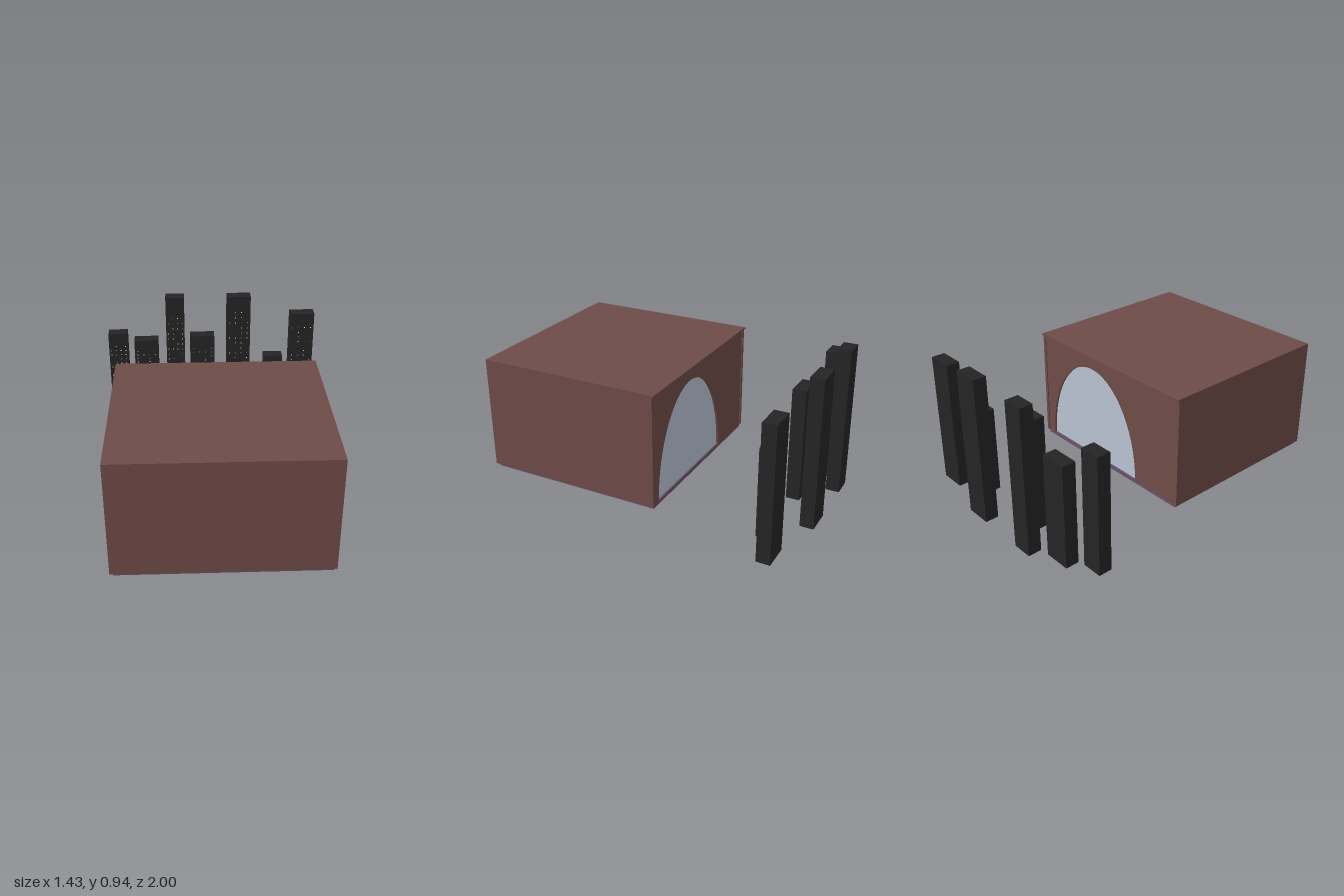
import * as THREE from 'three';

const mat = (name, color) => {
  const m = new THREE.MeshStandardMaterial({ color });
  m.name = name;
  return m;
};

export function createModel() {
  const wallMat = mat('brown wall', 0x6e4b48);
  const floorMat = mat('purple floor', 0x685268);
  const glassMat = mat('pale window', 0xb8c2d1);
  const towerMat = mat('dark tower', 0x242424);
  const lightMat = mat('lit window', 0xe4e4dc);

  const model = new THREE.Group();
  model.name = 'roomWithSkyline';

  // Box given by its minimum and maximum corners
  const box = (name, material, [x0, y0, z0], [x1, y1, z1], parent) => {
    const mesh = new THREE.Mesh(new THREE.BoxGeometry(x1 - x0, y1 - y0, z1 - z0), material);
    mesh.position.set((x0 + x1) / 2, (y0 + y1) / 2, (z0 + z1) / 2);
    mesh.name = name;
    parent.add(mesh);
  };

  // Hollow room: slab, three plain walls and a roof with a small rear lip
  const room = new THREE.Group();
  room.name = 'room';
  model.add(room);
  const L = -0.622, R = 0.626, base = 0.095, top = 0.795, t = 0.02;
  box('floor', floorMat, [-0.605, 0.075, -0.137], [0.609, 0.1, 0.984], room);
  box('roof', wallMat, [L, top, -0.154], [R, 0.805, 1], room);
  box('frontWall', wallMat, [L, base, 1 - t], [R, top, 1], room);
  box('rightWall', wallMat, [L, base, -0.145], [L + t, top, 1 - t], room);
  box('leftWall', wallMat, [R - t, base, -0.145], [R, top, 1 - t], room);

  // Back wall with an off-centre elliptical arch cut from its lower edge
  const cx = 0.146, rx = 0.403, ry = 0.62;
  const wall = new THREE.Shape();
  wall.moveTo(L + t, base);
  wall.lineTo(cx - rx, base);
  wall.absellipse(cx, base, rx, ry, Math.PI, 0, true);
  wall.lineTo(R - t, base);
  wall.lineTo(R - t, top);
  wall.lineTo(L + t, top);
  const extrude = (name, shape, depth, z, material) => {
    const geo = new THREE.ExtrudeGeometry(shape, { depth, bevelEnabled: false, curveSegments: 40 });
    const mesh = new THREE.Mesh(geo, material);
    mesh.position.z = z;
    mesh.name = name;
    room.add(mesh);
  };
  extrude('backWall', wall, t, -0.139, wallMat);

  // Window pane set into the arch
  const pane = new THREE.Shape();
  pane.absellipse(cx, base + 0.005, rx, ry - 0.005, 0, Math.PI, false);
  extrude('archWindow', pane, 0.006, -0.127, glassMat);

  // Small repeatable generator deciding which windows are lit
  let seed = 7;
  const random = () => (seed = (seed * 16807) % 2147483647) / 2147483647;

  // Skyline: centre x, width, height, front z
  const towers = [
    [-0.65, 0.13, 0.75, -0.73], [-0.463, 0.167, 0.655, -0.825], [-0.258, 0.13, 0.935, -0.915],
    [-0.072, 0.167, 0.725, -0.73], [0.19, 0.167, 0.935, -0.915], [0.422, 0.13, 0.565, -0.73],
    [0.628, 0.167, 0.84, -0.825],
  ];
  const depth = 0.085, rows = 17, cols = 4;
  const dot = new THREE.BoxGeometry(0.006, 0.006, 0.004);
  towers.forEach(([x, w, h, z]) => {
    const tower = new THREE.Group();
    tower.name = 'tower';
    model.add(tower);
    box('towerBody', towerMat, [x - w / 2, 0, z - depth], [x + w / 2, h, z], tower);
    for (let r = 0; r < rows; r++) {
      for (let c = 0; c < cols; c++) {
        if (random() > 0.65) continue;
        const lit = new THREE.Mesh(dot, lightMat);
        lit.position.set(x + (c - 1.5) * w / 4, h * (0.21 + 0.667 * r / (rows - 1)), z);
        lit.name = 'litWindow';
        tower.add(lit);
      }
    }
  });
  return model;
}
